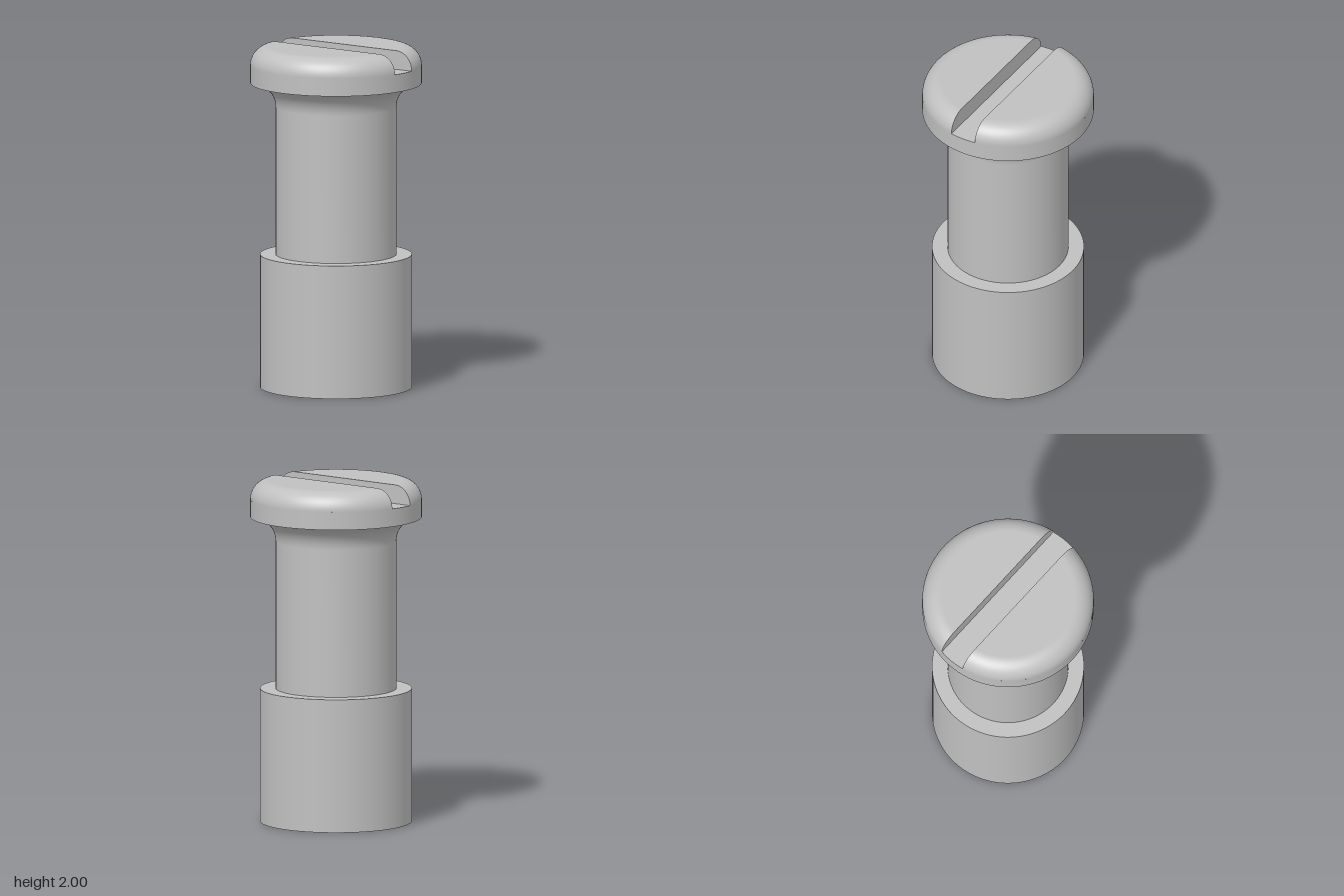
import * as THREE from 'three';
import { ParametricGeometry } from 'three/addons/geometries/ParametricGeometry.js';

const SEGMENTS = 128;
const HEAD_R = 0.497, HEAD_BOTTOM = 1.785, HEAD_TOP = 2;
const SHAFT_R = 0.35, COLLAR_R = 0.44, COLLAR_TOP = 0.78;
const SLOT_HALF = 0.08, SLOT_FLOOR = 1.89, ROUND = HEAD_TOP - SLOT_FLOOR;

export function createModel() {
  const model = new THREE.Group();
  const steel = new THREE.MeshStandardMaterial({ color: 0xc0c0c0 });
  steel.name = 'steel grey';

  const add = (parent, name, geometry) => {
    const mesh = new THREE.Mesh(geometry, steel);
    mesh.name = name;
    parent.add(mesh);
    return mesh;
  };
  // Each smooth stretch of the turned profile is its own lathe, so edges stay sharp
  const turn = (name, points) =>
    add(model, name, new THREE.LatheGeometry(points.map(p => new THREE.Vector2(...p)), SEGMENTS));
  const flat = shape => new THREE.ShapeGeometry(shape, 64).rotateX(-Math.PI / 2);

  // Collar at the foot
  turn('collarBottom', [[0, 0], [COLLAR_R, 0]]);
  turn('collarSide', [[COLLAR_R, 0], [COLLAR_R, COLLAR_TOP]]);
  turn('collarShoulder', [[COLLAR_R, COLLAR_TOP], [SHAFT_R, COLLAR_TOP]]);

  // Shaft flaring into the underside of the head
  const flare = 0.14, shaft = [[SHAFT_R, COLLAR_TOP]];
  for (let i = 0; i <= 16; i++) {
    const a = (i / 16) * Math.PI / 2;
    shaft.push([SHAFT_R + flare * (1 - Math.cos(a)), HEAD_BOTTOM - flare * (1 - Math.sin(a))]);
  }
  turn('shaft', shaft);
  turn('headUnderside', [[SHAFT_R + flare, HEAD_BOTTOM], [HEAD_R, HEAD_BOTTOM]]);
  turn('headRim', [[HEAD_R, HEAD_BOTTOM], [HEAD_R, SLOT_FLOOR]]);

  // Slot floor, a strip of the head's disc
  const b = Math.asin(SLOT_HALF / HEAD_R);
  const strip = new THREE.Shape();
  strip.absarc(0, 0, HEAD_R, -Math.PI / 2 - b, -Math.PI / 2 + b);
  strip.absarc(0, 0, HEAD_R, Math.PI / 2 - b, Math.PI / 2 + b);
  add(model, 'slotFloor', flat(strip)).position.y = SLOT_FLOOR;

  // Rounded head halves on both sides of the slot
  const radiusAt = a => HEAD_R - ROUND * (1 - Math.cos(a));
  const heightAt = a => SLOT_FLOOR + ROUND * Math.sin(a);
  const shoulder = new ParametricGeometry((u, v, target) => {
    const a = v * Math.PI / 2, r = radiusAt(a);
    const t = (2 * u - 1) * Math.acos(SLOT_HALF / r);
    target.set(r * Math.cos(t), heightAt(a), -r * Math.sin(t));
  }, SEGMENTS / 2, 16);

  const topR = HEAD_R - ROUND, topAngle = Math.acos(SLOT_HALF / topR);
  const cap = new THREE.Shape();
  cap.absarc(0, 0, topR, -topAngle, topAngle);
  const capGeometry = flat(cap).translate(0, HEAD_TOP, 0);

  const outline = [];
  for (let i = 0; i <= 16; i++) {
    const a = (i / 16) * Math.PI / 2;
    outline.push(new THREE.Vector2(Math.sqrt(radiusAt(a) ** 2 - SLOT_HALF ** 2), heightAt(a)));
  }
  const mirrored = outline.map(p => new THREE.Vector2(-p.x, p.y)).reverse();
  const wall = new THREE.ShapeGeometry(new THREE.Shape([...outline, ...mirrored]))
    .rotateY(-Math.PI / 2).translate(SLOT_HALF, 0, 0);

  for (const side of ['left', 'right']) {
    const half = new THREE.Group();
    half.name = side + 'HeadHalf';
    add(half, side + 'Shoulder', shoulder);
    add(half, side + 'HeadTop', capGeometry);
    add(half, side + 'SlotWall', wall);
    if (side === 'right') half.rotation.y = Math.PI;
    model.add(half);
  }
  return model;
}
